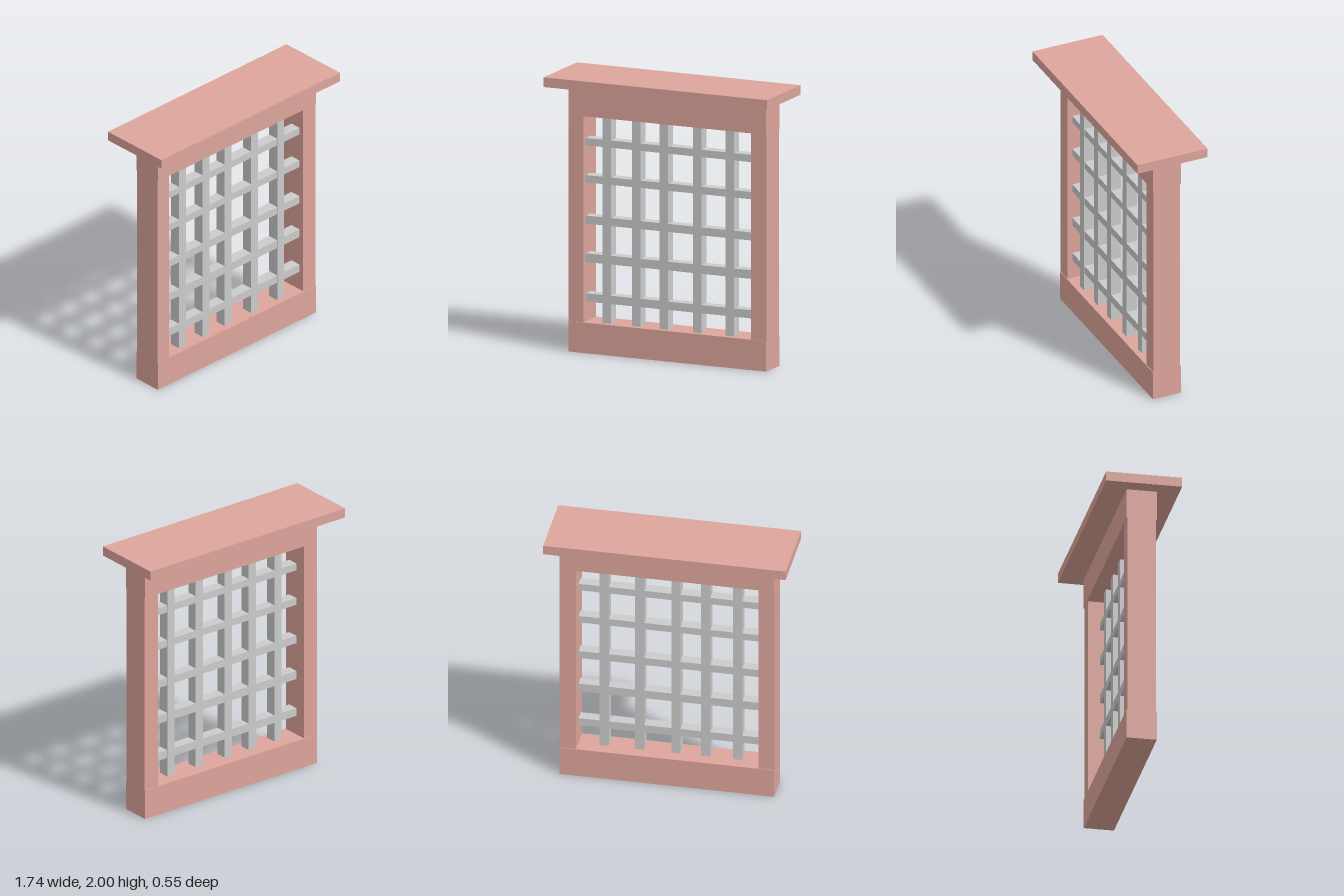
import * as THREE from 'three';

export function createModel() {
  const model = new THREE.Group();
  const wood = new THREE.MeshStandardMaterial({ color: 0xdda59b });
  const metal = new THREE.MeshStandardMaterial({ color: 0xcccccc });

  // Box given by its extents along each axis
  function box(name, [x0, x1], [y0, y1], [z0, z1], material, parent = model) {
    const mesh = new THREE.Mesh(new THREE.BoxGeometry(x1 - x0, y1 - y0, z1 - z0), material);
    mesh.position.set((x0 + x1) / 2, (y0 + y1) / 2, (z0 + z1) / 2);
    mesh.name = name;
    parent.add(mesh);
  }

  // Frame: wide rails with slightly thinner posts between them
  const frameX = [-0.755, 0.79];
  const railZ = [-0.103, 0.114];
  const postZ = [-0.098, 0.109];
  const opening = [0.22, 1.71];
  box('bottomRail', frameX, [0, opening[0]], railZ, wood);
  box('topRail', frameX, [opening[1], 1.93], railZ, wood);
  box('rightPost', [frameX[0], -0.64], opening, postZ, wood);
  box('leftPost', [0.67, frameX[1]], opening, postZ, wood);

  // Overhanging cap board
  box('capBoard', [-0.872, 0.872], [1.93, 2], [-0.273, 0.273], wood);

  // Lattice of unevenly spaced bars
  const lattice = new THREE.Group();
  lattice.name = 'lattice';
  model.add(lattice);
  for (const x of [-0.475, -0.245, -0.03, 0.23, 0.485]) {
    box('verticalBar', [x - 0.033, x + 0.033], opening, [-0.012, 0.072], metal, lattice);
  }
  for (const [y, h] of [[1.518, 0.053], [1.25, 0.053], [0.955, 0.058], [0.68, 0.063], [0.393, 0.06]]) {
    box('horizontalBar', [-0.64, 0.67], [y - h / 2, y + h / 2], [-0.011, 0.071], metal, lattice);
  }
  return model;
}
